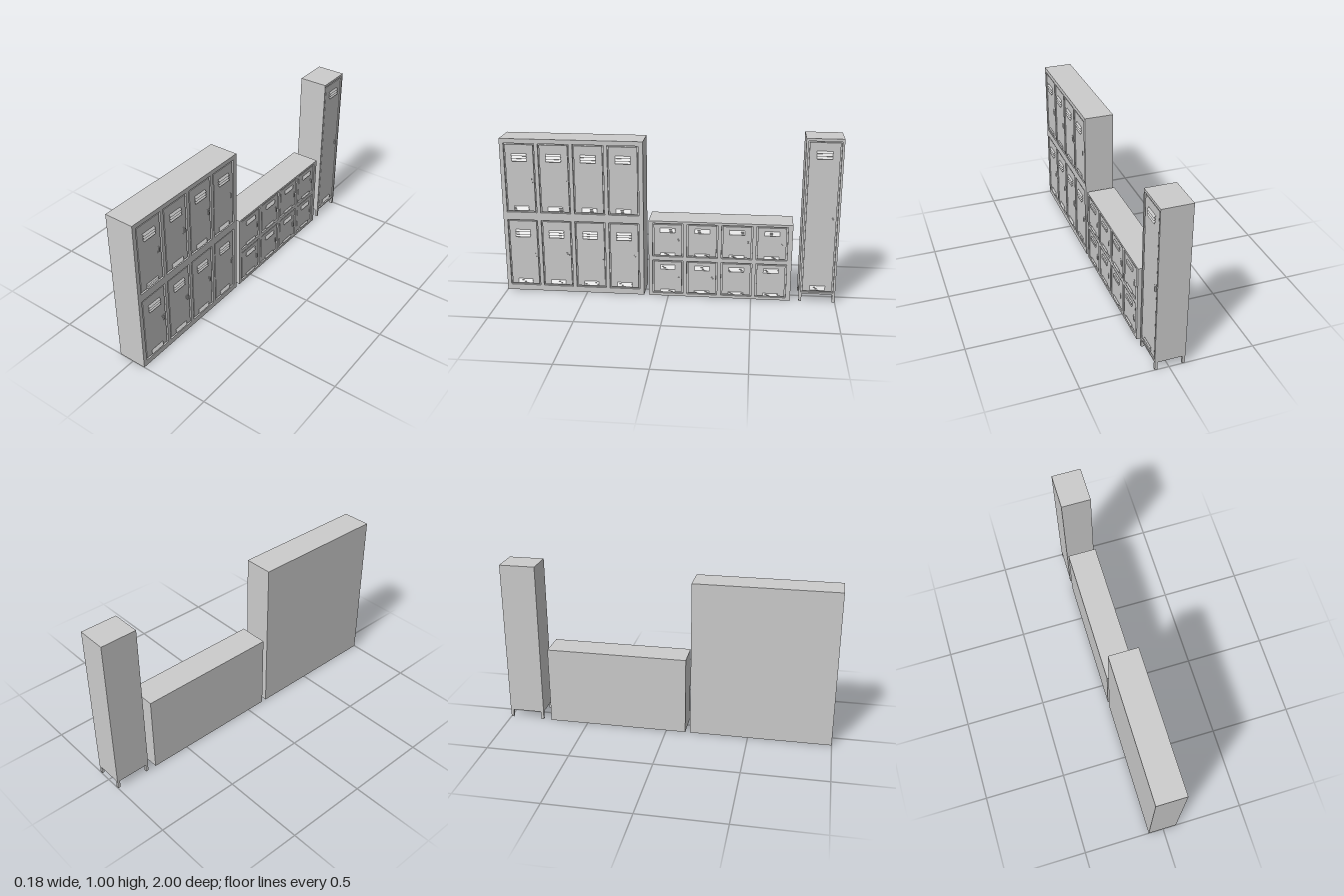
import * as THREE from 'three';

const material = new THREE.MeshStandardMaterial({ color: 0xcccccc });
const BACK = -0.093, FRONT = 0.083, RECESS = 0.069, DOOR = 0.08;

function box(name, parent, x0, x1, y0, y1, z0, z1) {
  const mesh = new THREE.Mesh(new THREE.BoxGeometry(x1 - x0, y1 - y0, z1 - z0), material);
  mesh.name = name;
  mesh.position.set((x0 + x1) / 2, (y0 + y1) / 2, (z0 + z1) / 2);
  parent.add(mesh);
  return mesh;
}

function rectangle(PathType, x0, x1, y0, y1) {
  const p = new PathType();
  p.moveTo(x0, y0);
  p.lineTo(x1, y0);
  p.lineTo(x1, y1);
  p.lineTo(x0, y1);
  p.closePath();
  return p;
}

// Three slanted slats, leaning outward at their lower edge
function vent(name, parent, x, y, height) {
  const group = new THREE.Group();
  group.name = name;
  const pitch = height / 3;
  for (let i = -1; i <= 1; i++) {
    const slat = box('ventSlat', group, x - 0.045, x + 0.045, -pitch * 0.5, pitch * 0.5, -0.001, 0.001);
    slat.position.set(x, y + i * pitch, DOOR + 0.004);
    slat.rotation.x = -0.65;
  }
  parent.add(group);
}

// Door panel with upper and lower vents and a latch on its right edge
function door(parent, x, y0, y1, width, upper, lower) {
  const group = new THREE.Group();
  group.name = 'door';
  const gap = 0.008;
  box('doorPanel', group, x - width / 2 + gap, x + width / 2 - gap, y0 + gap, y1 - gap, RECESS - 0.002, DOOR);
  vent('upperVent', group, x, y1 - upper.drop, upper.height);
  vent('lowerVent', group, x, y0 + lower.rise, lower.height);
  const hx = x + width / 2 - 0.026, hy = (y0 + y1) / 2 - 0.012;
  box('latchPlate', group, hx - 0.009, hx + 0.009, hy - 0.02, hy + 0.02, DOOR - 0.002, DOOR + 0.001);
  box('latchHandle', group, hx - 0.003, hx + 0.005, hy - 0.014, hy + 0.012, DOOR, DOOR + 0.005);
  parent.add(group);
}

// Cabinet body, front frame with openings, and the doors set in them
function lockerUnit(o) {
  const unit = new THREE.Group();
  unit.name = o.name;
  box('body', unit, o.x0, o.x1, o.y0, o.y1, BACK, RECESS);
  const frame = rectangle(THREE.Shape, o.x0, o.x1, o.y0, o.y1);
  for (const [y0, y1] of o.rows) {
    for (let i = 0; i < o.columns; i++) {
      const x = o.firstX + i * 0.206;
      frame.holes.push(rectangle(THREE.Path, x - o.width / 2, x + o.width / 2, y0, y1));
      door(unit, x, y0, y1, o.width, o.upper, o.lower);
    }
  }
  const geometry = new THREE.ExtrudeGeometry(frame, { depth: FRONT - RECESS, bevelEnabled: false });
  const mesh = new THREE.Mesh(geometry, material);
  mesh.name = 'frontFrame';
  mesh.position.z = RECESS;
  unit.add(mesh);
  return unit;
}

export function createModel() {
  const model = new THREE.Group();
  model.name = 'lockers';

  const row = new THREE.Group();
  row.name = 'lockerRow';
  row.rotation.y = Math.PI / 2; // doors face +x
  model.add(row);

  row.add(lockerUnit({
    name: 'doubleTierLockers', x0: -1, x1: -0.148, y0: 0, y1: 0.957,
    rows: [[0.035, 0.457], [0.505, 0.93]], columns: 4, firstX: -0.884, width: 0.184,
    upper: { drop: 0.085, height: 0.048 }, lower: { rise: 0.026, height: 0.028 },
  }));

  row.add(lockerUnit({
    name: 'lowCubeLockers', x0: -0.118, x1: 0.735, y0: 0, y1: 0.478,
    rows: [[0.017, 0.229], [0.254, 0.464]], columns: 4, firstX: -0.003, width: 0.184,
    upper: { drop: 0.042, height: 0.028 }, lower: { rise: 0.016, height: 0.018 },
  }));

  const tall = lockerUnit({
    name: 'tallLocker', x0: 0.785, x1: 1, y0: 0.05, y1: 1,
    rows: [[0.06, 0.985]], columns: 1, firstX: 0.892, width: 0.19,
    upper: { drop: 0.08, height: 0.048 }, lower: { rise: 0.03, height: 0.028 },
  });
  // Corner legs under the tall locker
  for (const x of [0.786, 0.983]) {
    for (const z of [BACK + 0.001, FRONT - 0.017]) box('leg', tall, x, x + 0.016, 0, 0.052, z, z + 0.016);
  }
  row.add(tall);

  return model;
}
